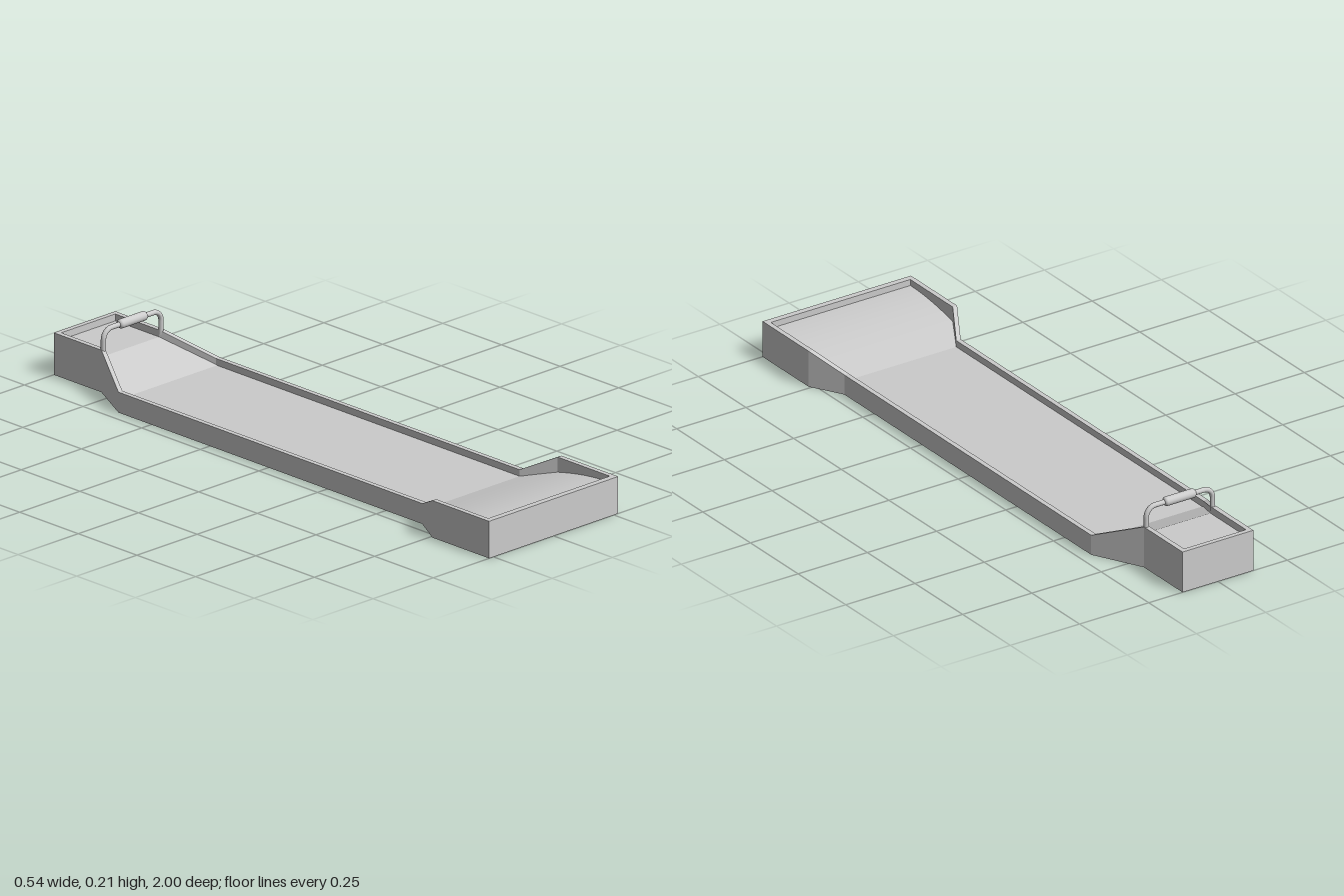
import * as THREE from 'three';
import { toCreasedNormals } from 'three/addons/utils/BufferGeometryUtils.js';

const V = (x, y, z) => new THREE.Vector3(x, y, z);
const WALL = 0.016;

// piecewise-linear lookup in [z, value] pairs
function lookup(table, z) {
  for (let i = 1; i < table.length; i++) {
    const [z0, v0] = table[i - 1], [z1, v1] = table[i];
    if (z <= z1) return v0 + ((v1 - v0) * (z - z0)) / (z1 - z0);
  }
  return table[table.length - 1][1];
}

const halfWidth = [[-1, 0.128], [-0.797, 0.128], [-0.64, 0.21], [0.655, 0.21], [0.758, 0.268], [1, 0.268]];
const rimHeight = [[-1, 0.134], [-0.797, 0.134], [-0.64, 0.065], [0.655, 0.065], [0.758, 0.118], [1, 0.118]];
const backFloor = [[-1, 0.112], [-0.797, 0.112], [-0.635, 0.044], [0.655, 0.044]];

// flat bed, straight ramp at the back, curved rise at the front
function floorHeight(z) {
  if (z <= 0.655) return lookup(backFloor, z);
  return 0.044 + 0.054 * Math.sin(((z - 0.655) / 0.325) * Math.PI / 2);
}

// trough cross-section, anticlockwise seen from +z
function section(z, filled) {
  const w = lookup(halfWidth, z), h = lookup(rimHeight, z);
  const f = filled ? h : floorHeight(z), i = w - WALL;
  return [[w, 0], [w, h], [i, h], [i, f], [-i, f], [-i, h], [-w, h], [-w, 0]].map(([x, y]) => V(x, y, z));
}

function trayGeometry() {
  const zs = [-0.984, -0.797, -0.64, -0.635, 0.655];
  for (let i = 1; i <= 16; i++) zs.push(0.655 + (0.325 * i) / 16);
  zs.push(0.758);
  zs.sort((a, b) => a - b);
  const rings = [section(-1, true), section(-0.984, true),
    ...zs.map((z) => section(z, false)), section(0.98, true), section(1, true)];

  const pos = [];
  const tri = (a, b, c) => {
    const area = b.clone().sub(a).cross(c.clone().sub(a)).length();
    if (area > 1e-9) for (const p of [a, b, c]) pos.push(p.x, p.y, p.z);
  };
  const quad = (a, b, c, d) => { tri(a, b, c); tri(a, c, d); };

  for (let i = 0; i < rings.length - 1; i++) {
    const r = rings[i], s = rings[i + 1];
    for (let k = 0; k < 8; k++) {
      const n = (k + 1) % 8;
      quad(r[k], r[n], s[n], s[k]);
    }
  }
  // end faces
  const back = rings[0], front = rings[rings.length - 1];
  quad(front[0], front[1], front[6], front[7]);
  quad(back[7], back[6], back[1], back[0]);

  const g = new THREE.BufferGeometry();
  g.setAttribute('position', new THREE.Float32BufferAttribute(pos, 3));
  return toCreasedNormals(g, 0.15);
}

// bent rod: two legs joined by a bar with rounded corners
function rodGeometry() {
  const x = 0.1195, top = 0.196, r = 0.032, base = 0.12, z = -0.797;
  const k = r * 0.45;
  const path = new THREE.CurvePath();
  path.add(new THREE.LineCurve3(V(-x, base, z), V(-x, top - r, z)));
  path.add(new THREE.CubicBezierCurve3(V(-x, top - r, z), V(-x, top - k, z), V(-x + k, top, z), V(-x + r, top, z)));
  path.add(new THREE.LineCurve3(V(-x + r, top, z), V(x - r, top, z)));
  path.add(new THREE.CubicBezierCurve3(V(x - r, top, z), V(x - k, top, z), V(x, top - k, z), V(x, top - r, z)));
  path.add(new THREE.LineCurve3(V(x, top - r, z), V(x, base, z)));
  return new THREE.TubeGeometry(path, 96, 0.008, 16);
}

// turned grip with rounded shoulders
function gripGeometry() {
  const R = 0.0145, L = 0.056, c = 0.009, pts = [new THREE.Vector2(0, -L)];
  for (const side of [-1, 1]) {
    for (let i = 0; i <= 6; i++) {
      const a = (side < 0 ? i - 6 : i) * Math.PI / 12;
      pts.push(new THREE.Vector2(R - c + c * Math.cos(a), side * (L - c) + c * Math.sin(a)));
    }
  }
  pts.push(new THREE.Vector2(0, L));
  return new THREE.LatheGeometry(pts, 24);
}

export function createModel() {
  const material = new THREE.MeshStandardMaterial({ color: 0xcccccc });
  const model = new THREE.Group();
  model.name = 'slidingTray';
  const add = (parent, name, geometry) => {
    const mesh = new THREE.Mesh(geometry, material);
    mesh.name = name;
    parent.add(mesh);
    return mesh;
  };

  add(model, 'tray', trayGeometry());

  const handle = new THREE.Group();
  handle.name = 'handle';
  add(handle, 'handleRod', rodGeometry());
  const grip = add(handle, 'handleGrip', gripGeometry());
  grip.rotation.z = Math.PI / 2;
  grip.position.set(0, 0.1965, -0.797);
  model.add(handle);

  return model;
}
